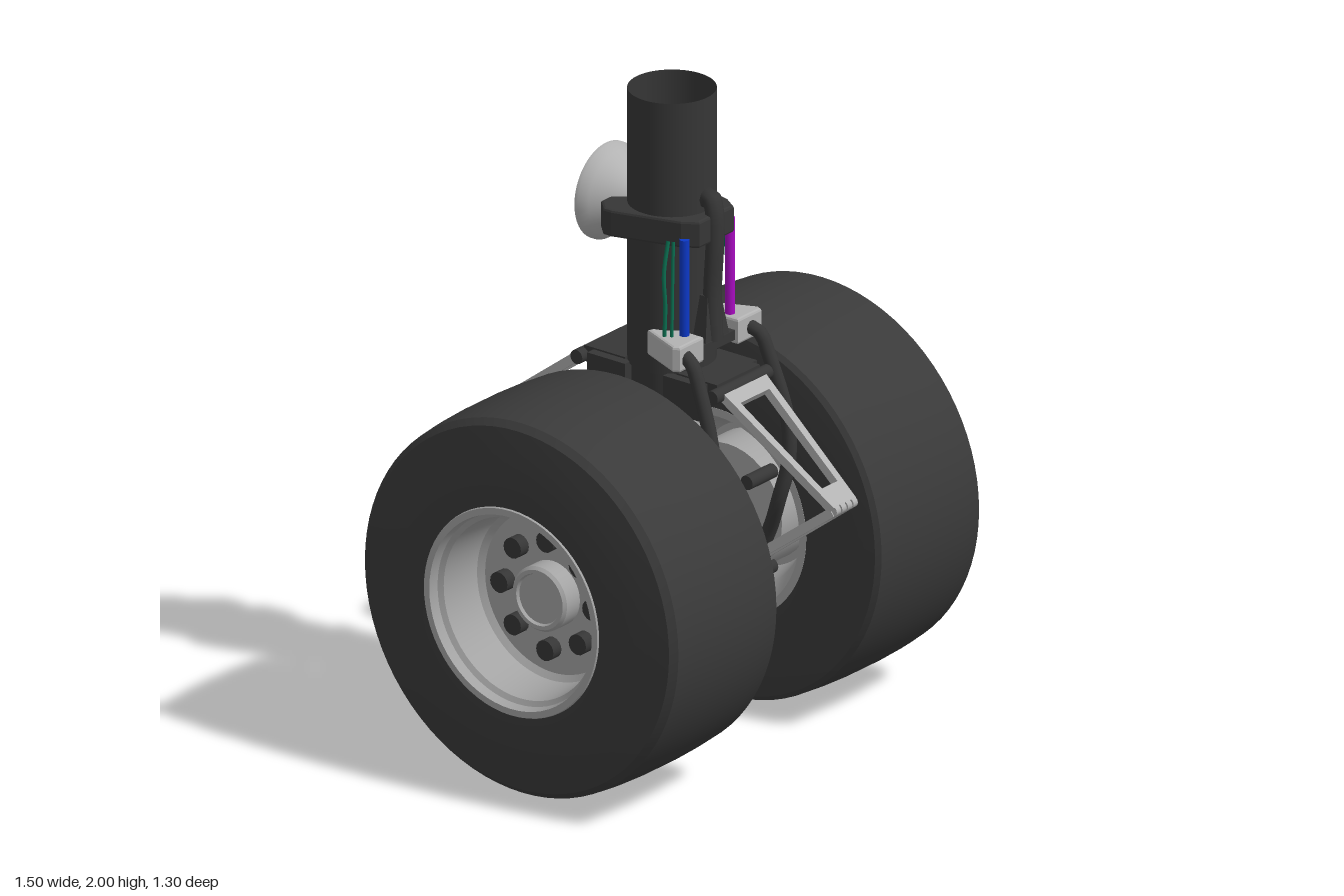
import * as THREE from 'three';
import { toCreasedNormals } from 'three/addons/utils/BufferGeometryUtils.js';

const mat = (name, color, side = THREE.FrontSide) => {
  const m = new THREE.MeshStandardMaterial({ color, side });
  m.name = name;
  return m;
};
const V = (a) => new THREE.Vector3(...a);

export function createModel() {
  const root = new THREE.Group();
  root.name = 'landingGear';

  const rubber = mat('tyre rubber', 0x3a3a3a);
  const dark = mat('dark metal', 0x363636, THREE.DoubleSide);
  const grey = mat('light grey metal', 0xb2b2b2);
  const rimGrey = mat('rim grey', 0xa4a4a4);
  const yellow = mat('lamp lens', 0xd2d27c);
  const blue = mat('blue rod', 0x0c38c8);
  const purple = mat('purple rod', 0xa80cc0);
  const green = mat('green cable', 0x0a6e50);

  // Helpers
  const add = (name, geo, material, pos = [0, 0, 0], parent = root) => {
    const m = new THREE.Mesh(geo, material);
    m.name = name;
    m.position.set(...pos);
    parent.add(m);
    return m;
  };
  const box = (name, size, pos, material, parent) =>
    add(name, new THREE.BoxGeometry(...size), material, pos, parent);
  const lathe = (pts, seg = 64, crease = 0.5) =>
    toCreasedNormals(new THREE.LatheGeometry(pts.map((p) => new THREE.Vector2(...p)), seg), crease);
  const rodX = (name, r, len, pos, material, parent, seg = 24) => {
    const m = add(name, new THREE.CylinderGeometry(r, r, len, seg), material, pos, parent);
    m.rotation.z = Math.PI / 2;
    return m;
  };
  const tube = (name, pts, r, material, parent) =>
    add(name, new THREE.TubeGeometry(new THREE.CatmullRomCurve3(pts.map(V)), 40, r, 10), material, [0, 0, 0], parent);
  const outline = (pts) => new THREE.Shape(pts.map((p) => new THREE.Vector2(...p)));
  // Flat plate from an x/z outline, hanging down from yTop
  const slab = (name, pts, yTop, h, material) => {
    const bevel = 0.008;
    const g = new THREE.ExtrudeGeometry(outline(pts), {
      depth: h - 2 * bevel, bevelSize: bevel, bevelThickness: bevel, bevelOffset: -bevel, bevelSegments: 2 });
    add(name, g, material, [0, yTop - bevel, 0]).rotation.x = Math.PI / 2;
  };

  // Wheels: axis along local y, outer side at +y, turned to face +x
  const tyreGeo = lathe([[0.3, 0.22], [0.36, 0.21], [0.5, 0.222], [0.565, 0.233], [0.58, 0.245], [0.586, 0.32],
    [0.59, 0.42], [0.59, 0.53], [0.586, 0.63], [0.579, 0.7], [0.56, 0.72], [0.5, 0.732], [0.42, 0.744],
    [0.35, 0.75], [0.315, 0.745], [0.3, 0.72], [0.3, 0.22]], 80);
  const rimGeo = lathe([[0, 0.4], [0.22, 0.4], [0.25, 0.3], [0.3, 0.215], [0.325, 0.215], [0.325, 0.74],
    [0.32, 0.752], [0.3, 0.752], [0.295, 0.72], [0.28, 0.71], [0.268, 0.57], [0.25, 0.555], [0, 0.555]]);
  const hubGeo = lathe([[0.1, 0.53], [0.1, 0.615], [0.092, 0.625], [0.08, 0.625], [0.076, 0.615], [0, 0.615]], 40);
  const boltGeo = new THREE.CylinderGeometry(0.032, 0.032, 0.045, 16);
  for (const side of [1, -1]) {
    const wheel = new THREE.Group();
    wheel.name = side > 0 ? 'leftWheel' : 'rightWheel';
    wheel.position.y = 0.595;
    wheel.rotation.y = side > 0 ? 0 : Math.PI;
    const axis = new THREE.Group();
    axis.rotation.z = -Math.PI / 2;
    wheel.add(axis);
    root.add(wheel);
    add('tyre', tyreGeo, rubber, [0, 0, 0], axis);
    add('rim', rimGeo, rimGrey, [0, 0, 0], axis);
    add('hub', hubGeo, rimGrey, [0, 0, 0], axis);
    for (let i = 0; i < 8; i++) {
      const a = (i * Math.PI) / 4;
      add('wheelBolt', boltGeo, dark, [0.17 * Math.cos(a), 0.57, 0.17 * Math.sin(a)], axis);
    }
    // Brake pack between axle and wheel
    add('brakeDisc', new THREE.CylinderGeometry(0.2, 0.2, 0.14, 40), rimGrey, [0, 0.33, 0], axis);
    for (let i = 0; i < 4; i++) {
      const a = Math.PI / 4 + (i * Math.PI) / 2;
      rodX('brakePin', 0.022, 0.12, [0.22, 0.21 * Math.sin(a), 0.21 * Math.cos(a)], dark, wheel);
    }
  }

  // Axle, piston and lower cap
  rodX('axle', 0.1, 0.34, [0, 0.595, 0], grey);
  rodX('axleCore', 0.07, 0.9, [0, 0.595, 0], dark);
  add('piston', new THREE.CylinderGeometry(0.105, 0.105, 0.73, 40), grey, [0, 0.815, 0]);
  add('lowerCap', new THREE.SphereGeometry(1, 32, 16), dark, [0, 0.415, 0]).scale.set(0.12, 0.068, 0.13);
  for (const s of [1, -1]) box('brakeBracket', [0.025, 0.09, 0.05], [s * 0.162, 0.415, 0.12], dark);

  // Main strut with an open top
  add('strut', new THREE.CylinderGeometry(0.13, 0.13, 0.85, 48, 1, true), dark, [0, 1.575, 0]);
  add('strutFloor', new THREE.CylinderGeometry(0.129, 0.129, 0.02, 48), dark, [0, 1.16, 0]);
  add('strutGland', new THREE.CylinderGeometry(0.12, 0.12, 0.12, 40), dark, [0, 1.1, 0]);

  // Scissor links, front and back
  const link = (name, a, b, parent) => {
    const dy = b[0] - a[0], dz = b[1] - a[1], len = Math.hypot(dy, dz);
    const s = outline([[-0.1, 0], [0.1, 0], [0.052, len], [-0.052, len]]);
    s.holes.push(new THREE.Path([[-0.067, 0.06], [-0.036, len - 0.07], [0.036, len - 0.07], [0.067, 0.06]]
      .map((p) => new THREE.Vector2(...p))));
    const g = new THREE.ExtrudeGeometry(s, { depth: 0.028, bevelEnabled: false });
    g.translate(0, 0, -0.014);
    add(name, g, grey, [0, ...a], parent).rotation.x = Math.atan2(dz, dy);
  };
  for (const front of [true, false]) {
    const g = new THREE.Group();
    g.name = front ? 'frontScissor' : 'backScissor';
    g.rotation.y = front ? 0 : Math.PI;
    root.add(g);
    link('upperLink', [1.135, 0.25], [0.85, 0.63], g);
    link('lowerLink', [0.56, 0.25], [0.845, 0.63], g);
    for (let i = 0; i < 4; i++) rodX('elbowKnuckle', 0.016, 0.02, [-0.039 + i * 0.026, 0.848, 0.632], grey, g, 12);
    rodX('upperPivot', 0.022, 0.26, [0, 1.13, 0.25], dark, g);
    box('upperLug', [0.2, 0.05, 0.15], [0, 1.135, 0.17], dark, g);
    for (const s of [1, -1]) box('upperCheek', [0.03, 0.11, 0.14], [s * 0.115, 1.1, 0.14], dark, g);
    rodX('lowerPivot', 0.02, 0.24, [0, 0.56, 0.25], dark, g);
    box('lowerLug', [0.13, 0.06, 0.18], [0, 0.565, 0.16], grey, g);
  }

  // Collar round the strut, and the front conduit
  slab('collar', [[-0.08, 0.165], [-0.11, 0.12], [-0.17, -0.09], [-0.17, -0.12], [-0.13, -0.16],
    [0.13, -0.16], [0.17, -0.12], [0.17, -0.09], [0.11, 0.12], [0.08, 0.165]], 1.645, 0.085, dark);
  const conduit = tube('conduit', [[0, 1.67, 0.11], [0, 1.695, 0.14], [0, 1.66, 0.155], [0, 1.55, 0.158],
    [0, 1.4, 0.15], [0, 1.25, 0.155]], 0.025, dark);
  conduit.scale.x = 1.25;
  const foot = add('conduitFoot', new THREE.CylinderGeometry(0.035, 0.07, 0.16, 4, 1), dark, [0, 1.31, 0.14]);
  foot.geometry = foot.geometry.toNonIndexed().rotateY(Math.PI / 4);
  foot.geometry.computeVertexNormals();
  foot.scale.set(1.2, 1, 0.6);
  box('conduitPlate', [0.2, 0.03, 0.08], [0, 1.24, 0.13], dark);

  // Side manifolds, rods and cables
  for (const s of [1, -1]) {
    const pts = [[0.08, 0.1], [0.11, 0.03], [0.14, 0.02], [0.2, 0.16], [0.19, 0.18], [0.08, 0.18]];
    slab('manifold', pts.map(([x, z]) => [x * s, z]), 1.29, 0.08, grey);
    add(s > 0 ? 'purpleRod' : 'blueRod', new THREE.CylinderGeometry(0.015, 0.015, 0.32, 16),
      s > 0 ? purple : blue, [s * 0.106, 1.43, 0.13]);
    tube('cable', [[s * 0.125, 1.58, 0.085], [s * 0.145, 1.48, 0.085], [s * 0.145, 1.38, 0.09],
      [s * 0.15, 1.27, 0.09]], 0.006, green);
    tube('thinCable', [[s * 0.12, 1.58, 0.1], [s * 0.13, 1.45, 0.105], [s * 0.14, 1.27, 0.11]], 0.005, green);
  }

  // Hydraulic hoses down to the brakes
  tube('rightHose', [[-0.15, 1.25, 0.16], [-0.165, 1.235, 0.205], [-0.17, 1.17, 0.235], [-0.175, 0.98, 0.29],
    [-0.165, 0.78, 0.29], [-0.16, 0.6, 0.22], [-0.14, 0.46, 0.15], [-0.09, 0.41, 0.11]], 0.022, dark);
  tube('leftHose', [[0.14, 1.25, 0.16], [0.15, 1.235, 0.205], [0.155, 1.17, 0.235], [0.172, 0.98, 0.29],
    [0.165, 0.85, 0.3], [0.148, 0.74, 0.28], [0.168, 0.6, 0.22], [0.15, 0.46, 0.15], [0.09, 0.41, 0.11]], 0.022, dark);

  // Landing lamp facing backwards
  const lamp = new THREE.Group();
  lamp.name = 'lamp';
  lamp.position.y = 1.615;
  lamp.rotation.x = -Math.PI / 2;
  root.add(lamp);
  add('lampHousing', lathe([[0, 0.1], [0.06, 0.11], [0.075, 0.13], [0.1, 0.165], [0.13, 0.205], [0.147, 0.232],
    [0.147, 0.244], [0.137, 0.248], [0.125, 0.24], [0, 0.24]], 48, 0.6), grey, [0, 0, 0], lamp);
  add('lampLens', lathe([[0.126, 0.238], [0.11, 0.252], [0.08, 0.265], [0.04, 0.273], [0, 0.275]], 48, 0.8),
    yellow, [0, 0, 0], lamp);

  return root;
}
